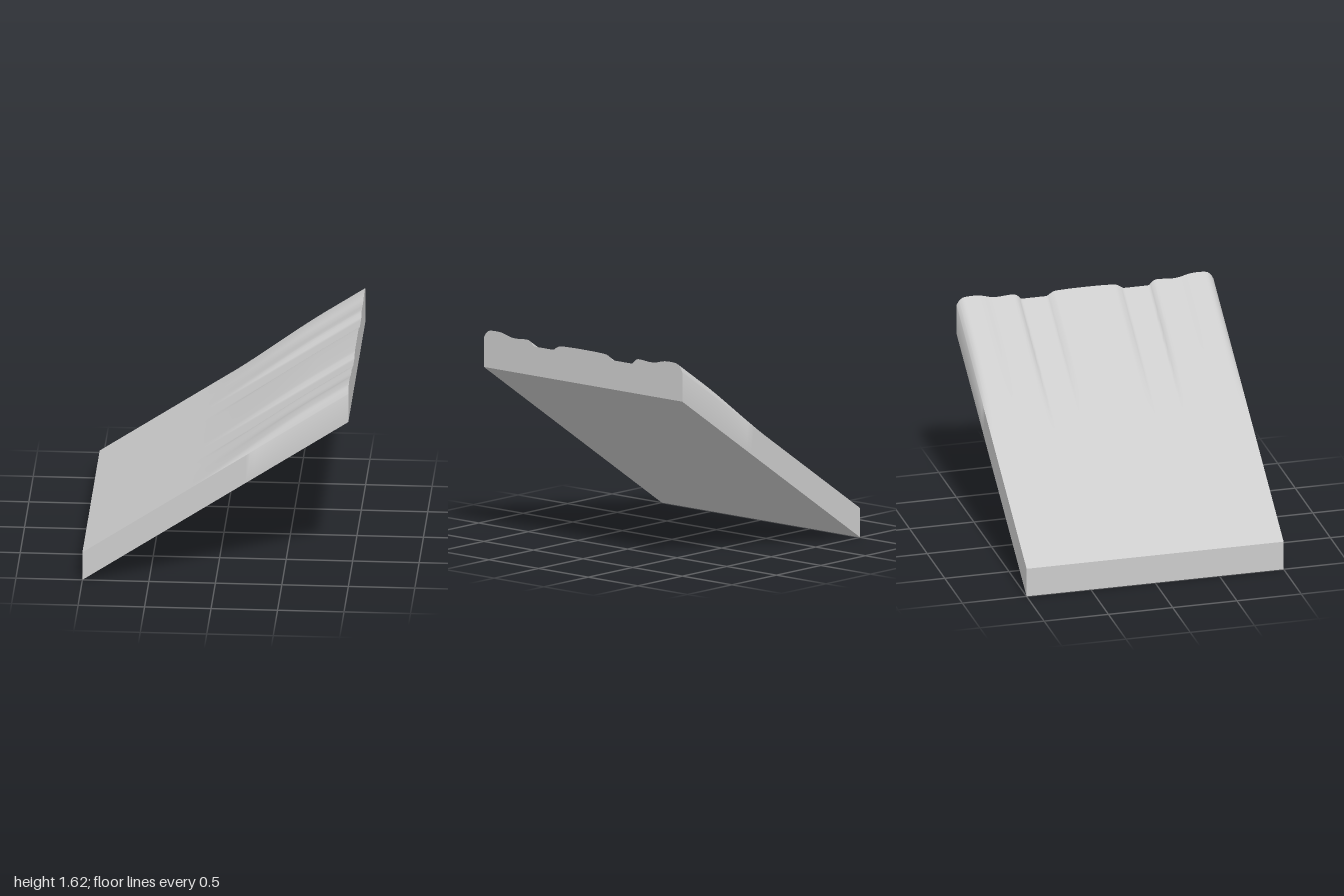
import * as THREE from 'three';
import { toCreasedNormals } from 'three/addons/utils/BufferGeometryUtils.js';

// Half of the moulded section: distance from the centre line, height above the plain slab
const HALF = [
  [0, 0.042], [0.12, 0.041], [0.22, 0.037], [0.25, 0.03], [0.28, 0.013], [0.305, 0], [0.4, 0],
  [0.49, 0], [0.515, 0.02], [0.54, 0.038], [0.57, 0.043], [0.62, 0.04], [0.68, 0.036],
  [0.74, 0.042], [0.79, 0.056], [0.84, 0.064], [0.9, 0.065], [0.945, 0.06], [0.97, 0.045],
  [0.985, 0.028], [1, 0],
];
const SLOPE = 0.6675, THICKNESS = 0.224;

const baseY = (x) => SLOPE * (x + 1);
// Mouldings fade in from the plain lower half to full height near the upper end
const fade = (x) => THREE.MathUtils.smoothstep(x, -0.22, 0.72);

function slabGeometry() {
  // Mirrored section, smoothed by a spline
  const left = HALF.slice(1).reverse().map(([z, h]) => new THREE.Vector2(-z, h));
  const right = HALF.map(([z, h]) => new THREE.Vector2(z, h));
  const section = new THREE.SplineCurve([...left, ...right]).getPoints(120);

  // Stations along the slope: one long plain stretch, then even steps
  const stations = [-1, -0.6];
  for (let i = 0; i <= 30; i++) stations.push(-0.22 + (1.22 * i) / 30);

  const top = (i, j) => {
    const x = stations[i], s = section[j];
    return [x, baseY(x) + THICKNESS + Math.max(0, s.y) * fade(x), s.x];
  };
  const bottom = (i, j) => [stations[i], baseY(stations[i]), section[j].x];

  const positions = [];
  const quad = (a, b, c, d) => positions.push(...a, ...b, ...c, ...a, ...c, ...d);
  const m = stations.length - 1, n = section.length - 1;

  for (let i = 0; i < m; i++) {
    for (let j = 0; j < n; j++) {
      quad(top(i, j), top(i, j + 1), top(i + 1, j + 1), top(i + 1, j));
      quad(bottom(i, j), bottom(i + 1, j), bottom(i + 1, j + 1), bottom(i, j + 1));
    }
    // Long sides
    quad(bottom(i, n), bottom(i + 1, n), top(i + 1, n), top(i, n));
    quad(bottom(i + 1, 0), bottom(i, 0), top(i, 0), top(i + 1, 0));
  }
  // Lower and upper ends
  for (let j = 0; j < n; j++) {
    quad(bottom(0, j), bottom(0, j + 1), top(0, j + 1), top(0, j));
    quad(bottom(m, j + 1), bottom(m, j), top(m, j), top(m, j + 1));
  }

  const geometry = new THREE.BufferGeometry();
  geometry.setAttribute('position', new THREE.Float32BufferAttribute(positions, 3));
  return toCreasedNormals(geometry, THREE.MathUtils.degToRad(50));
}

export function createModel() {
  const grey = new THREE.MeshStandardMaterial({ color: 0xcccccc });
  grey.name = 'light grey';

  const slab = new THREE.Mesh(slabGeometry(), grey);
  slab.name = 'mouldedSlab';

  const model = new THREE.Group();
  model.name = 'slopedMoulding';
  model.add(slab);
  return model;
}
